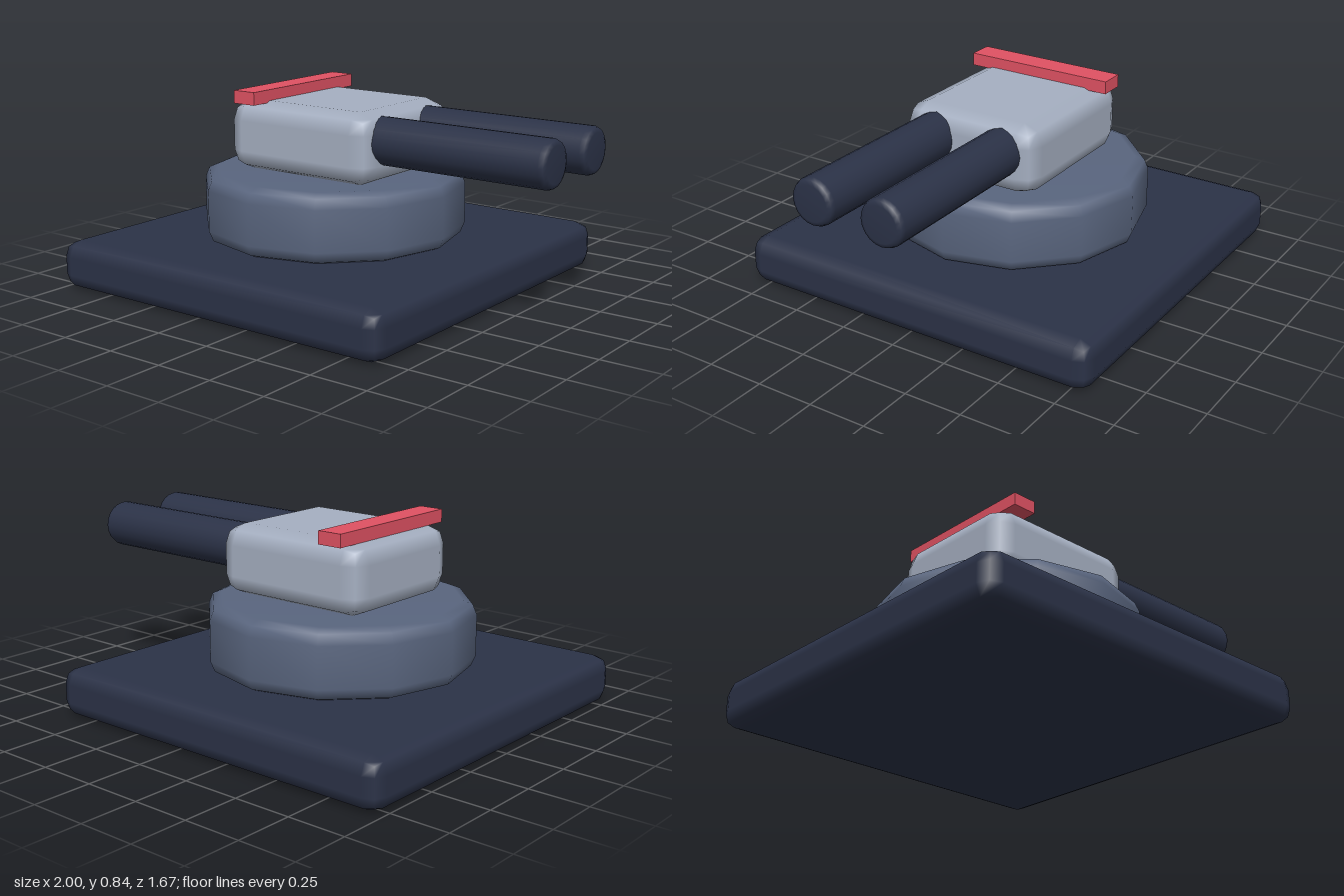
import * as THREE from 'three';
import { RoundedBoxGeometry } from 'three/addons/geometries/RoundedBoxGeometry.js';

const paint = (color) => new THREE.MeshStandardMaterial({ color });

// Turned solid between y0 and y1 with rounded rims
function drumGeometry(radius, y0, y1, bevel, sides) {
  const c = bevel * 0.293;
  const profile = [
    [0, y0], [radius - bevel, y0], [radius - c, y0 + c], [radius, y0 + bevel],
    [radius, y1 - bevel], [radius - c, y1 - c], [radius - bevel, y1], [0, y1],
  ].map(([x, y]) => new THREE.Vector2(x, y));
  return new THREE.LatheGeometry(profile, sides);
}

export function createModel() {
  const model = new THREE.Group();
  model.name = 'gunTurret';
  const navy = paint(0x2b3247);
  const slate = paint(0x59657e);
  const paleGrey = paint(0xa5afc1);
  const red = paint(0xe05263);

  const add = (name, geometry, material, x, y, z) => {
    const mesh = new THREE.Mesh(geometry, material);
    mesh.name = name;
    mesh.position.set(x, y, z);
    model.add(mesh);
    return mesh;
  };

  // Square base slab with softened edges
  add('base', new RoundedBoxGeometry(1.666, 0.21, 1.666, 1, 0.066), navy, -0.167, 0.107, 0);

  // Twelve-sided rotating ring
  add('turretRing', drumGeometry(0.567, 0.205, 0.5, 0.06, 12), slate, -0.167, 0, 0)
    .rotation.y = Math.PI / 2;

  // Gun housing
  add('housing', new RoundedBoxGeometry(0.735, 0.3, 0.635, 1, 0.085), paleGrey, -0.133, 0.65, 0);

  // Twin barrels pointing along +x
  const barrel = drumGeometry(0.099, 0, 0.85, 0.025, 20);
  for (const side of [-1, 1]) {
    add(side < 0 ? 'backBarrel' : 'frontBarrel', barrel, navy, 0.15, 0.68, side * 0.16)
      .rotation.z = -Math.PI / 2;
  }

  // Red marker bar across the housing roof
  add('roofBar', new THREE.BoxGeometry(0.11, 0.055, 0.67), red, -0.38, 0.819, 0);

  return model;
}
